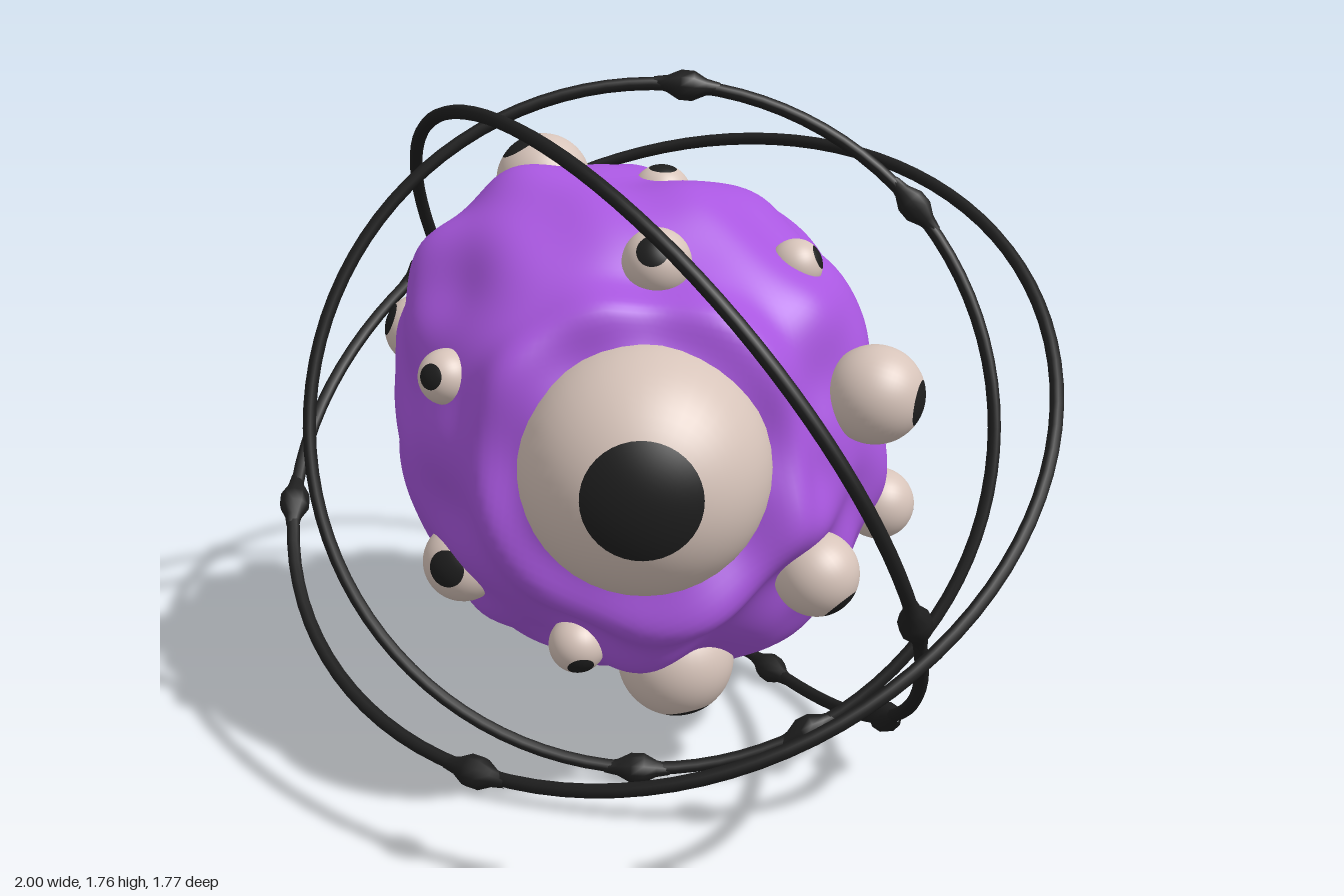
import * as THREE from 'three';
import { mergeVertices } from 'three/addons/utils/BufferGeometryUtils.js';

const V = (x, y, z) => new THREE.Vector3(x, y, z);
const UP = V(0, 1, 0);

function mat(name, color) {
  const m = new THREE.MeshStandardMaterial({ color });
  m.name = name;
  return m;
}

function part(name, geometry, material) {
  const m = new THREE.Mesh(geometry, material);
  m.name = name;
  return m;
}

function seeded(seed) {
  return () => (seed = (seed * 16807) % 2147483647) / 2147483647;
}

// Lumpy ball with a raised socket around the main eye
function bodyGeometry() {
  const rand = seeded(77);
  const waves = [];
  for (const [freq, amp, count] of [[5, 0.005, 5], [11, 0.005, 7], [18, 0.003, 8]]) {
    for (let i = 0; i < count; i++) {
      const k = V(rand() - 0.5, rand() - 0.5, rand() - 0.5).normalize().multiplyScalar(freq);
      waves.push({ k, amp, phase: rand() * 6.28 });
    }
  }
  // direction, height and angular width of broad swellings and hollows
  const bumps = [
    [V(0.5, -0.5, 0.25), 0.05, 0.35], [V(0.1, -0.4, 0.75), 0.03, 0.3],
    [V(0, 0.15, -0.7), 0.02, 0.3], [V(-0.43, -0.28, 0.3), -0.03, 0.22],
    [V(0, -0.45, -0.5), -0.07, 0.5], [V(0.55, 0, -0.38), 0.02, 0.35],
    [V(0.43, -0.12, 0.47), 0.04, 0.15], [V(-0.2, 0.64, 0.06), 0.04, 0.35],
    [V(-0.52, 0.45, 0.05), 0.05, 0.35], [V(-0.18, -0.9, -0.15), 0.045, 0.38],
    [V(-0.65, -0.12, 0.06), -0.03, 0.35], [V(-0.55, -0.35, -0.05), -0.025, 0.3],
    [V(0.65, -0.1, 0), 0.02, 0.3], [V(0, 0.35, -0.6), -0.03, 0.28],
    [V(0.52, 0.42, 0), -0.015, 0.3], [V(0.08, 0.58, -0.11), -0.035, 0.2],
  ].map(([d, h, w]) => [d.normalize(), h, w]);
  const socket = V(0.02, 0.065, 0.54).normalize();

  let g = new THREE.IcosahedronGeometry(1, 40);
  g.deleteAttribute('uv');
  g.deleteAttribute('normal');
  g = mergeVertices(g, 1e-4);
  const p = g.attributes.position, d = V(0, 0, 0);
  for (let i = 0; i < p.count; i++) {
    d.fromBufferAttribute(p, i).normalize();
    let r = 0.648;
    for (const w of waves) r += w.amp * Math.sin(d.dot(w.k) + w.phase);
    for (const [b, h, w] of bumps) r += h * Math.exp(-((d.angleTo(b) / w) ** 2));
    r += 0.045 * Math.exp(-(((d.angleTo(socket) - 0.59) / 0.1) ** 2));
    p.setXYZ(i, d.x * r, d.y * r, d.z * r);
  }
  g.computeVertexNormals();
  return g;
}

export function createModel() {
  const model = new THREE.Group();
  model.name = 'manyEyedOrb';
  const purple = mat('purple skin', 0xa957e0);
  const ivory = mat('eye ivory', 0xd7c4ba);
  const black = mat('black', 0x1e1e1e);

  const body = part('body', bodyGeometry(), purple);
  body.position.set(-0.045, 0.895, -0.1);
  model.add(body);

  // Eyes: a ball whose pole is the pupil cap
  const cap = 0.48;
  const ballGeo = new THREE.SphereGeometry(1, 40, 28, 0, Math.PI * 2, cap, Math.PI - cap);
  const pupilGeo = new THREE.SphereGeometry(1, 40, 8, 0, Math.PI * 2, 0, cap);
  function addEye(name, center, radius, look) {
    const eye = new THREE.Group();
    eye.name = name;
    eye.add(part('eyeball', ballGeo, ivory), part('pupil', pupilGeo, black));
    eye.position.set(...center);
    eye.scale.setScalar(radius);
    eye.quaternion.setFromUnitVectors(UP, V(...look).normalize());
    model.add(eye);
  }
  addEye('mainEye', [-0.02, 0.95, 0.44], 0.3, [-0.02, 0.08, 1]);
  // center, radius, looking direction
  const smallEyes = [
    [[0.54, 1.06, 0.234], 0.122, [0.88, -0.08, 0.33]],
    [[0.40, 0.638, 0.35], 0.106, [0.56, -0.63, 0.39]],
    [[0.60, 0.655, -0.066], 0.095, [0.95, -0.25, -0.2]],
    [[0.01, 1.398, 0.268], 0.083, [-0.13, 0.55, 0.78]],
    [[0.352, 1.343, 0.085], 0.066, [0.78, 0.36, 0.18]],
    [[-0.49, 1.128, 0.3], 0.068, [-0.5, 0.25, 0.8]],
    [[-0.475, 0.613, 0.215], 0.102, [-0.36, 0.16, 0.9]],
    [[-0.185, 0.463, 0.38], 0.071, [0.15, -0.57, 0.8]],
    [[0.06, 0.33, 0.19], 0.15, [0.2, -0.9, 0.28]],
    [[-0.28, 1.485, -0.24], 0.122, [-0.5, 0.86, 0.05]],
    [[-0.005, 1.265, -0.57], 0.1, [-0.38, 0.74, -0.47]],
    [[0.025, 1.46, -0.19], 0.077, [0.05, 0.95, 0.08]],
    [[-0.375, 1.28, -0.515], 0.069, [-0.7, 0.5, -0.33]],
    [[-0.612, 1.093, -0.212], 0.094, [-0.87, 0.37, 0.2]],
  ];
  smallEyes.forEach((e, i) => addEye('smallEye' + (i + 1), ...e));

  // Orbiting rings with spindle-shaped beads
  const beadProfile = [[0.015, -0.085], [0.022, -0.05], [0.039, -0.017],
    [0.039, 0.017], [0.022, 0.05], [0.015, 0.085]];
  const beadGeo = new THREE.LatheGeometry(beadProfile.map(([r, y]) => new THREE.Vector2(r, y)), 10);
  // center, normal, radius, rough bead positions relative to the center
  const rings = [
    [[0, 0.89, 0], [0, 0.306, 0.952], 0.883,
      [[0.09, 0.84, -0.27], [0.68, 0.54, -0.2], [0.41, -0.76, 0.24], [-0.04, -0.85, 0.27]]],
    [[0.01, 0.895, 0], [-0.288, 0.803, 0.522], 1.015,
      [[-0.97, -0.28, -0.145], [-0.42, -0.61, 0.69], [-0.68, 0.23, -0.74]]],
    [[0, 0.89, 0], [0.747, 0.47, -0.47], 0.957,
      [[0.58, -0.2, 0.71], [0.59, -0.69, 0.25], [0.35, -0.85, -0.3], [0.24, -0.81, -0.43]]],
  ];
  rings.forEach(([center, n, radius, beads], i) => {
    const normal = V(...n).normalize();
    const group = new THREE.Group();
    group.name = 'orbitRing' + (i + 1);
    group.position.set(...center);
    const hoop = part('hoop', new THREE.TorusGeometry(radius, 0.017, 10, 96), black);
    hoop.quaternion.setFromUnitVectors(V(0, 0, 1), normal);
    group.add(hoop);
    for (const b of beads) {
      const out = V(...b).projectOnPlane(normal).normalize();
      const bead = part('bead', beadGeo, black);
      bead.position.copy(out).multiplyScalar(radius);
      bead.quaternion.setFromUnitVectors(UP, normal.clone().cross(out).normalize());
      group.add(bead);
    }
    model.add(group);
  });
  return model;
}
